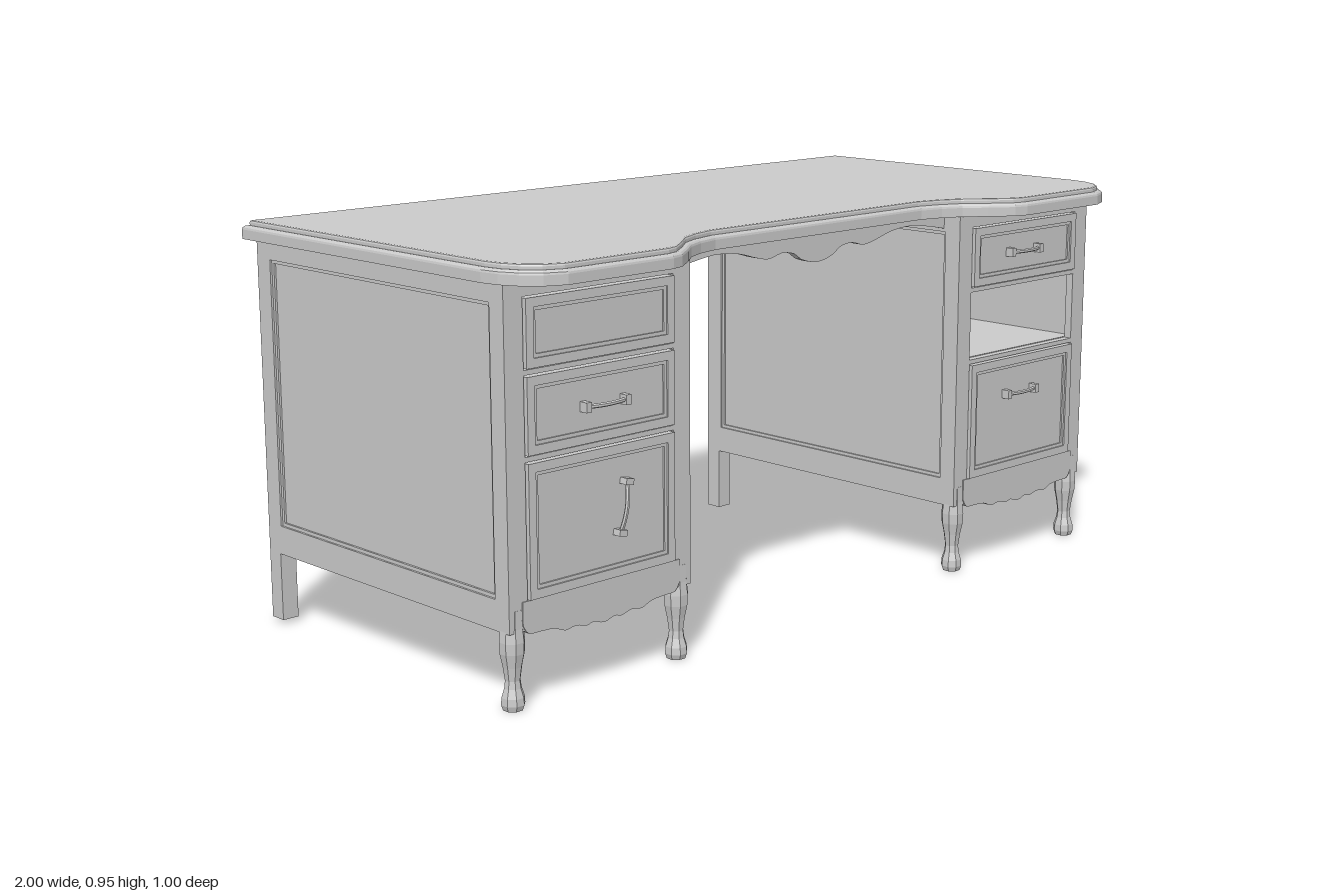
import * as THREE from 'three';

const mat = new THREE.MeshStandardMaterial({ color: 0xcccccc, flatShading: true });

function add(parent, name, geometry, x = 0, y = 0, z = 0) {
  const mesh = new THREE.Mesh(geometry, mat);
  mesh.name = name;
  mesh.position.set(x, y, z);
  parent.add(mesh);
  return mesh;
}

function group(parent, name) {
  const g = new THREE.Group();
  g.name = name;
  parent.add(g);
  return g;
}

const box = (w, h, d) => new THREE.BoxGeometry(w, h, d);
const pts = list => list.map(([x, y]) => new THREE.Vector2(x, y));
const rectPts = ([x0, y0, x1, y1]) => pts([[x0, y0], [x1, y0], [x1, y1], [x0, y1]]);
const grow = ([x0, y0, x1, y1], d) => [x0 - d, y0 - d, x1 + d, y1 + d];

// Flat rectangle with rectangular openings, its front face at z = 0
function frame(rect, holes, depth) {
  const shape = new THREE.Shape(rectPts(rect));
  holes.forEach(h => shape.holes.push(new THREE.Path(rectPts(h))));
  return new THREE.ExtrudeGeometry(shape, { depth, bevelEnabled: false }).translate(0, 0, -depth);
}

// Frame, stepped moulding and recessed field
function panelled(parent, name, rect, hole, depth, recess) {
  const g = group(parent, name);
  add(g, 'frame', frame(rect, [hole], depth));
  add(g, 'moulding', frame(hole, [grow(hole, -0.008)], depth - recess / 2), 0, 0, -recess / 2);
  add(g, 'field', frame(grow(hole, -0.008), [], depth - recess), 0, 0, -recess);
  return g;
}

// Mirror a half outline (from +x to the centre) and smooth it
function scallop(half, divisions) {
  const all = [...half, ...half.slice(0, -1).reverse().map(([x, y]) => [-x, y])];
  return new THREE.SplineCurve(pts(all)).getPoints(divisions);
}

// Valance with a straight top edge and scalloped lower edge
function valance(half, top, depth) {
  const w = half[0][0];
  const shape = new THREE.Shape([...pts([[-w, top], [w, top]]), ...scallop(half, 48)]);
  return new THREE.ExtrudeGeometry(shape, { depth, bevelEnabled: false });
}

// Bow handle, centred and lying along x
function addHandle(parent, x, y, angle = 0) {
  const g = group(parent, 'handle');
  g.position.set(x, y, 0.403);
  g.rotation.z = angle;
  const curve = new THREE.CatmullRomCurve3([[-0.056, 0.012], [-0.03, 0.019], [0, 0.022], [0.03, 0.019], [0.056, 0.012]]
    .map(([px, pz]) => new THREE.Vector3(px, 0, pz)));
  add(g, 'grip', new THREE.TubeGeometry(curve, 12, 0.005, 6));
  for (const s of [-1, 1]) add(g, 'handleMount', box(0.014, 0.022, 0.024), s * 0.056, 0, 0.01);
}

// Desktop outline, drawn in x and z
function topOutline() {
  const half = [[0.35, 0.373], [0.41, 0.388], [0.46, 0.411], [0.51, 0.452], [0.565, 0.492], [0.6, 0.5025], [0.89, 0.5025],
    [0.938, 0.482], [0.972, 0.447], [0.992, 0.405], [1, 0.36], [1, -0.5025]];
  return new THREE.Shape(pts([...half, ...half.slice().reverse().map(([x, z]) => [-x, z])]));
}

function addTop(parent) {
  const g = group(parent, 'desktop');
  const layer = (name, top, depth, bevel) => add(g, name,
    new THREE.ExtrudeGeometry(topOutline(), { depth, ...bevel }).rotateX(Math.PI / 2), 0, top, 0);
  layer('lowerEdge', 0.926, 0.019, { bevelEnabled: false });
  layer('roundedEdge', 0.929, 0.008,
    { bevelThickness: 0.009, bevelSize: 0.009, bevelOffset: -0.009, bevelSegments: 3 });
  layer('topSurface', 0.945, 0.015,
    { bevelThickness: 0.005, bevelSize: 0.005, bevelOffset: -0.018, bevelSegments: 2 });
}

const drawerRects = [[-0.207, 0.727, 0.207, 0.873], [-0.207, 0.545, 0.207, 0.71], [-0.207, 0.237, 0.207, 0.528]];

const legProfile = pts([[0, 0], [0.021, 0], [0.025, 0.012], [0.024, 0.028], [0.018, 0.048], [0.016, 0.065],
  [0.02, 0.095], [0.026, 0.125], [0.027, 0.15], [0.024, 0.18], [0.023, 0.22], [0, 0.22]]);

function addPedestal(parent, name, x, openBay) {
  const g = group(parent, name);
  g.position.x = x;

  // Panelled sides, facing outward
  for (const s of [-1, 1]) {
    const spanZ = (z0, y0, z1, y1) => s > 0 ? [-z1, y0, -z0, y1] : [z0, y0, z1, y1];
    const side = panelled(g, 'sidePanel', spanZ(-0.475, 0.172, 0.385, 0.908),
      spanZ(-0.425, 0.24, 0.36, 0.865), 0.022, 0.01);
    side.position.x = s * 0.26;
    side.rotation.y = s * Math.PI / 2;
  }

  // Carcass
  add(g, 'backPanel', box(0.476, 0.736, 0.015), 0, 0.54, -0.4675);
  add(g, 'bottomPanel', box(0.476, 0.015, 0.845), 0, 0.1795, -0.0375);
  add(g, 'lowerShelf', box(0.476, 0.014, 0.845), 0, 0.537, -0.0375);
  add(g, 'upperShelf', box(0.476, 0.014, 0.845), 0, 0.718, -0.0375);
  add(g, 'frontFrame', frame([-0.26, 0.172, 0.26, 0.908], drawerRects.map(r => grow(r, 0.003)), 0.02), 0, 0, 0.405);

  // Drawer fronts
  drawerRects.forEach((r, i) => {
    if (i === openBay) return;
    panelled(g, 'drawerFront', r, grow(r, -0.02), 0.03, 0.008).position.z = 0.412;
  });

  // Scalloped apron between the front legs
  add(g, 'apron', valance([[0.225, 0.185], [0.21, 0.165], [0.18, 0.163], [0.14, 0.16], [0.11, 0.149],
    [0.08, 0.153], [0.05, 0.146], [0.03, 0.15], [0, 0.142]], 0.236, 0.02), 0, 0, 0.3875);

  // Legs: turned in front, square behind
  for (const s of [-1, 1]) {
    add(g, 'frontLeg', new THREE.LatheGeometry(legProfile, 8, Math.PI / 8), s * 0.236, 0, 0.383).scale.set(1.06, 1, 1.06);
    add(g, 'backLeg', box(0.042, 0.166, 0.043), s * 0.239, 0.093, -0.4535);
  }
  return g;
}

export function createModel() {
  const desk = new THREE.Group();
  desk.name = 'desk';
  addTop(desk);

  // One drawer is missing from the left pedestal, leaving an open bay
  const right = addPedestal(desk, 'rightPedestal', -0.72, -1);
  const left = addPedestal(desk, 'leftPedestal', 0.72, 1);
  addHandle(right, 0.005, 0.625);
  addHandle(right, 0.053, 0.39, 1.39);
  addHandle(left, -0.01, 0.8);
  addHandle(left, -0.01, 0.435);

  // Valance across the kneehole
  add(desk, 'kneeholeValance', valance([[0.465, 0.872], [0.4, 0.884], [0.33, 0.892], [0.26, 0.886], [0.2, 0.87],
    [0.16, 0.864], [0.12, 0.873], [0.08, 0.868], [0.05, 0.85], [0, 0.84]], 0.91, 0.02), 0, 0, 0.335);
  return desk;
}
